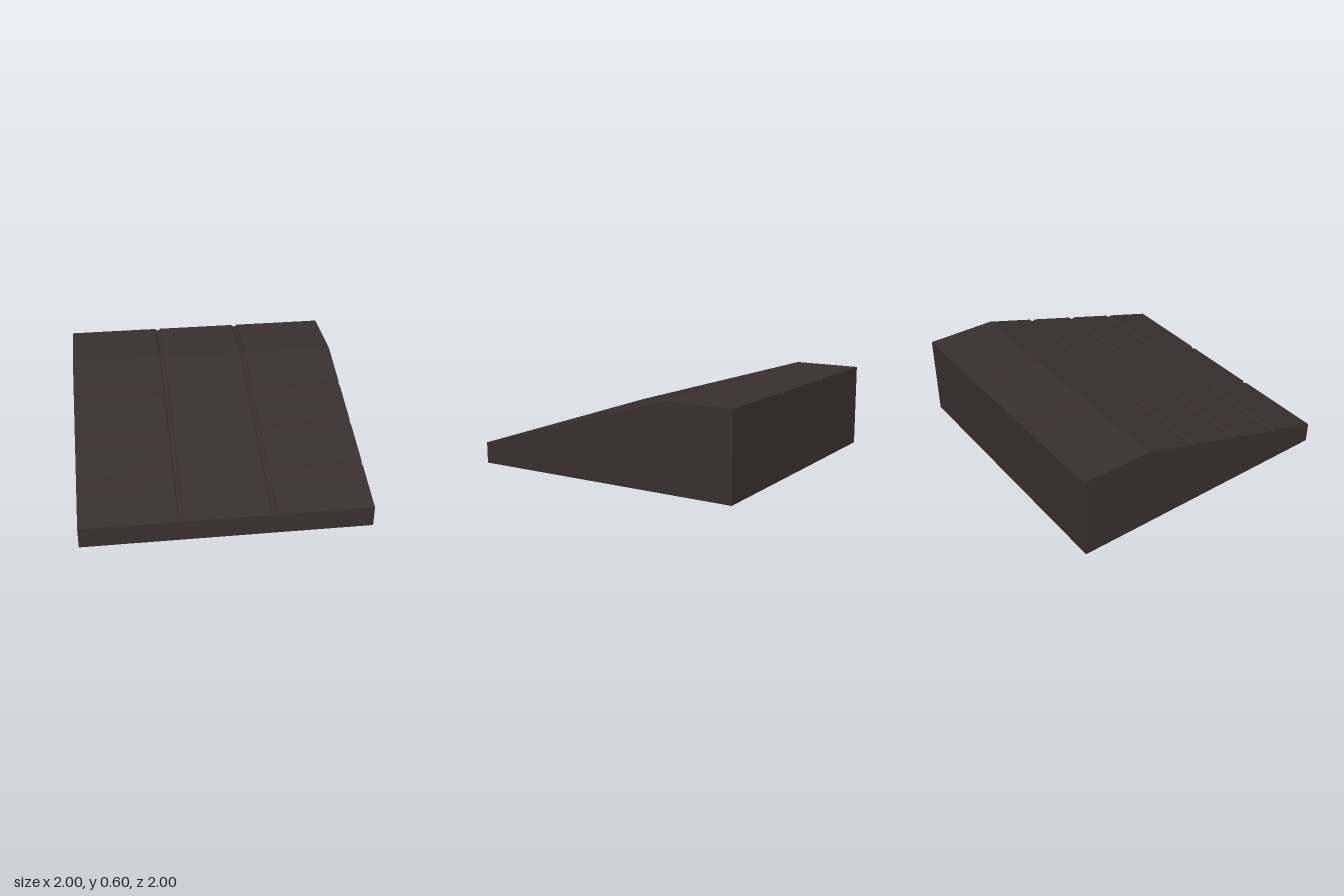
import * as THREE from 'three';

// Groove cross-section: offset from its centre line and depth
const GROOVE = [[-0.02, 0], [-0.014, 0.01], [0, 0.014], [0.014, 0.01], [0.02, 0]];
const LONG_GROOVES = [-0.315, 0.315];
const CROSS_GROOVES = [-0.125, 0.25, 0.625];

const stations = (ends, centres) =>
  [...ends, ...centres.flatMap((c) => GROOVE.map(([o]) => c + o))].sort((a, b) => a - b);

// Depth of the nearest groove at a coordinate
function grooveDepth(v, centres) {
  for (const c of centres) {
    for (const [o, d] of GROOVE) if (Math.abs(v - c - o) < 1e-6) return d;
  }
  return 0;
}

// Height of the deck: level at the back, sloping to the front, cut by grooves
function height(x, z) {
  const base = z < -0.5 ? 0.6 : 0.6 - 0.3 * (z + 0.5);
  const outer = Math.abs(x) > 0.314;
  const cross = outer ? grooveDepth(z, CROSS_GROOVES) : 0;
  return base - Math.max(grooveDepth(x, LONG_GROOVES), cross);
}

// Flat-shaded surface through rows of points
function surface(rows) {
  const pos = [];
  for (let i = 0; i < rows.length - 1; i++) {
    for (let j = 0; j < rows[i].length - 1; j++) {
      const a = rows[i][j], b = rows[i][j + 1], c = rows[i + 1][j], d = rows[i + 1][j + 1];
      pos.push(...a, ...c, ...b, ...b, ...c, ...d);
    }
  }
  const geometry = new THREE.BufferGeometry();
  geometry.setAttribute('position', new THREE.Float32BufferAttribute(pos, 3));
  geometry.computeVertexNormals();
  return geometry;
}

export function createModel() {
  const group = new THREE.Group();
  group.name = 'ramp';
  const material = new THREE.MeshStandardMaterial({ color: 0x382e2f, side: THREE.DoubleSide, flatShading: true });
  material.name = 'dark brown';

  const add = (name, rows) => {
    const mesh = new THREE.Mesh(surface(rows), material);
    mesh.name = name;
    group.add(mesh);
  };

  const xs = stations([-1, 1], LONG_GROOVES);
  const zs = stations([-1, -0.5, 1], CROSS_GROOVES);
  const top = (x, z) => [x, height(x, z), z];

  // Grooved deck
  add('deck', zs.map((z) => xs.map((x) => top(x, z))));

  // Walls hang from the deck edges; the underside is open
  const wall = (name, edge) => add(name, [edge, edge.map(([x, , z]) => [x, 0, z])]);
  const xsBack = [...xs].reverse();
  const zsBack = [...zs].reverse();
  wall('frontWall', xs.map((x) => top(x, 1)));
  wall('backWall', xsBack.map((x) => top(x, -1)));
  wall('leftWall', zsBack.map((z) => top(1, z)));
  wall('rightWall', zs.map((z) => top(-1, z)));

  return group;
}
